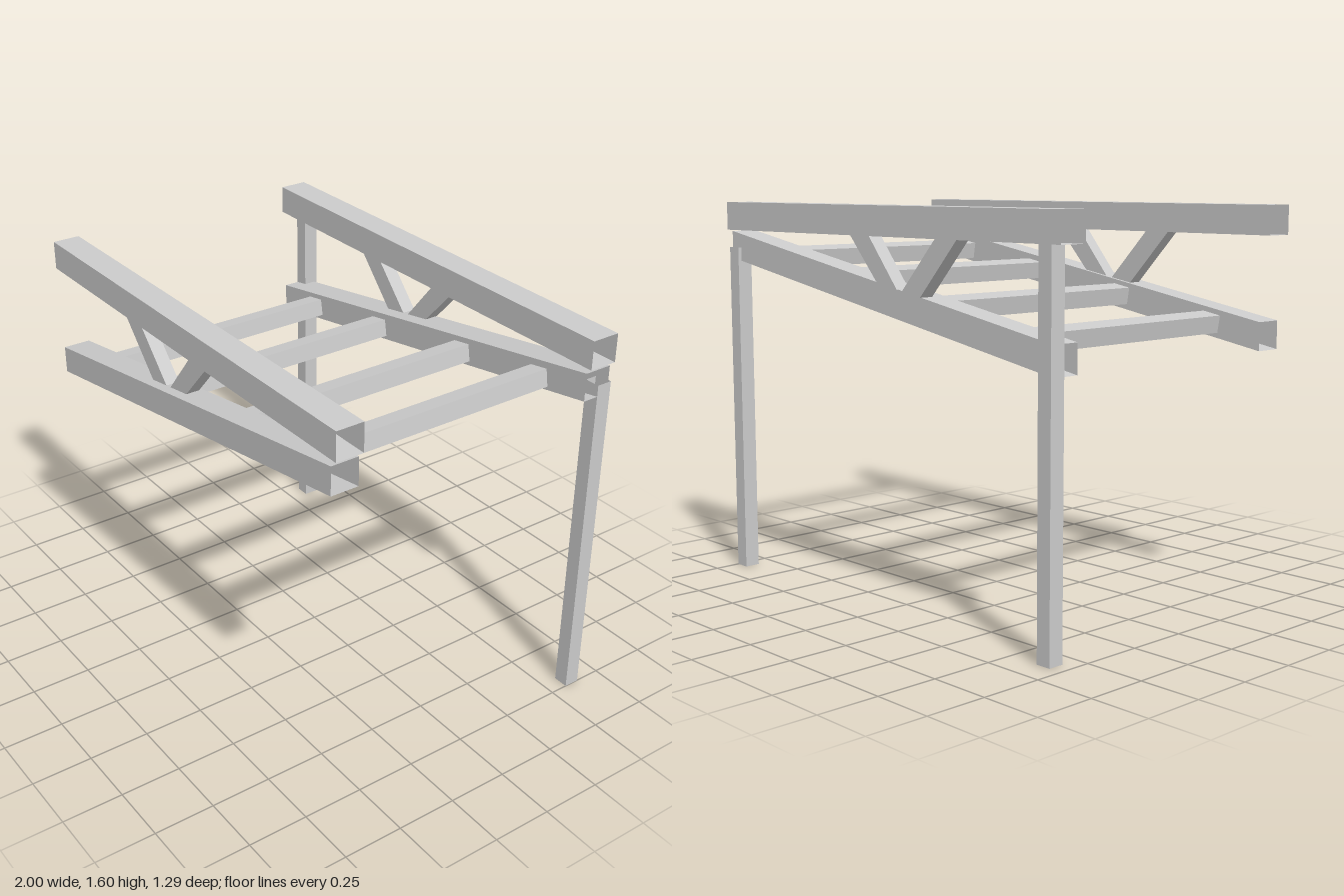
import * as THREE from 'three';

const material = new THREE.MeshStandardMaterial({ color: 0xcccccc, side: THREE.DoubleSide, flatShading: true });

// Open-ended hollow section: four walls joining two four-cornered rings.
function hollow(name, start, end) {
  const positions = [];
  for (let i = 0; i < 4; i++) {
    const j = (i + 1) % 4;
    for (const p of [start[i], start[j], end[j], start[i], end[j], end[i]]) positions.push(...p);
  }
  const geometry = new THREE.BufferGeometry();
  geometry.setAttribute('position', new THREE.Float32BufferAttribute(positions, 3));
  geometry.computeVertexNormals();
  const mesh = new THREE.Mesh(geometry, material);
  mesh.name = name;
  return mesh;
}

// Beam along x with vertical end cuts; y0 and y1 are the underside heights of its ends.
function beam(name, x0, y0, x1, y1, height, z0, z1) {
  const ring = (x, y) => [[x, y, z0], [x, y, z1], [x, y + height, z1], [x, y + height, z0]];
  return hollow(name, ring(x0, y0), ring(x1, y1));
}

// Upright or leaning member; each end is a [left x, left y, right x, right y] cut line.
function post(name, bottom, top, z0, z1) {
  const ring = ([xa, ya, xb, yb]) => [[xa, ya, z0], [xa, ya, z1], [xb, yb, z1], [xb, yb, z0]];
  return hollow(name, ring(bottom), ring(top), z0, z1);
}

export function createModel() {
  const model = new THREE.Group();
  model.name = 'roofFrame';

  // Side trusses: level top beam, sloping lower beam and two braces
  const sides = [
    { name: 'front', top: [0.51, 0.625], slope: [0.53, 0.645], brace: [0.545, 0.602] },
    { name: 'back', top: [-0.65, -0.53], slope: [-0.625, -0.508], brace: [-0.63, -0.57] },
  ];
  for (const { name, top, slope, brace } of sides) {
    const truss = new THREE.Group();
    truss.name = `${name}Truss`;
    truss.add(
      beam('topBeam', -1, 1.482, 1, 1.482, 0.118, ...top),
      beam('slopingBeam', -0.945, 1.026, 1, 1.361, 0.115, ...slope),
      post('leftBrace', [-0.25, 1.26, -0.145, 1.278], [-0.46, 1.486, -0.34, 1.486], ...brace),
      post('rightBrace', [-0.115, 1.283, 0.005, 1.304], [0.055, 1.486, 0.172, 1.486], ...brace),
    );
    model.add(truss);
  }

  // Back legs of unequal height
  for (const [name, x, height] of [['rightLeg', -0.947, 1.482], ['leftLeg', 0.937, 1.407]]) {
    model.add(post(name, [x, 0, x + 0.063, 0], [x, height, x + 0.063, height], -0.64, -0.575));
  }

  // Cross rungs, tilted to follow the sloping beams
  const tilt = Math.atan2(0.335, 1.945);
  const rungs = [
    [-0.7, 1.126, -0.51, 0.53],
    [-0.212, 1.212, -0.495, 0.545],
    [0.313, 1.298, -0.51, 0.53],
    [0.758, 1.37, -0.52, 0.53],
  ];
  for (const [x, y, z0, z1] of rungs) {
    const ring = (z) => [[-1, -1], [1, -1], [1, 1], [-1, 1]].map(([sx, sy]) => [sx * 0.043, sy * 0.036, z]);
    const rung = hollow('crossRung', ring(z0), ring(z1));
    rung.position.set(x, y, 0);
    rung.rotation.z = tilt;
    model.add(rung);
  }

  return model;
}
